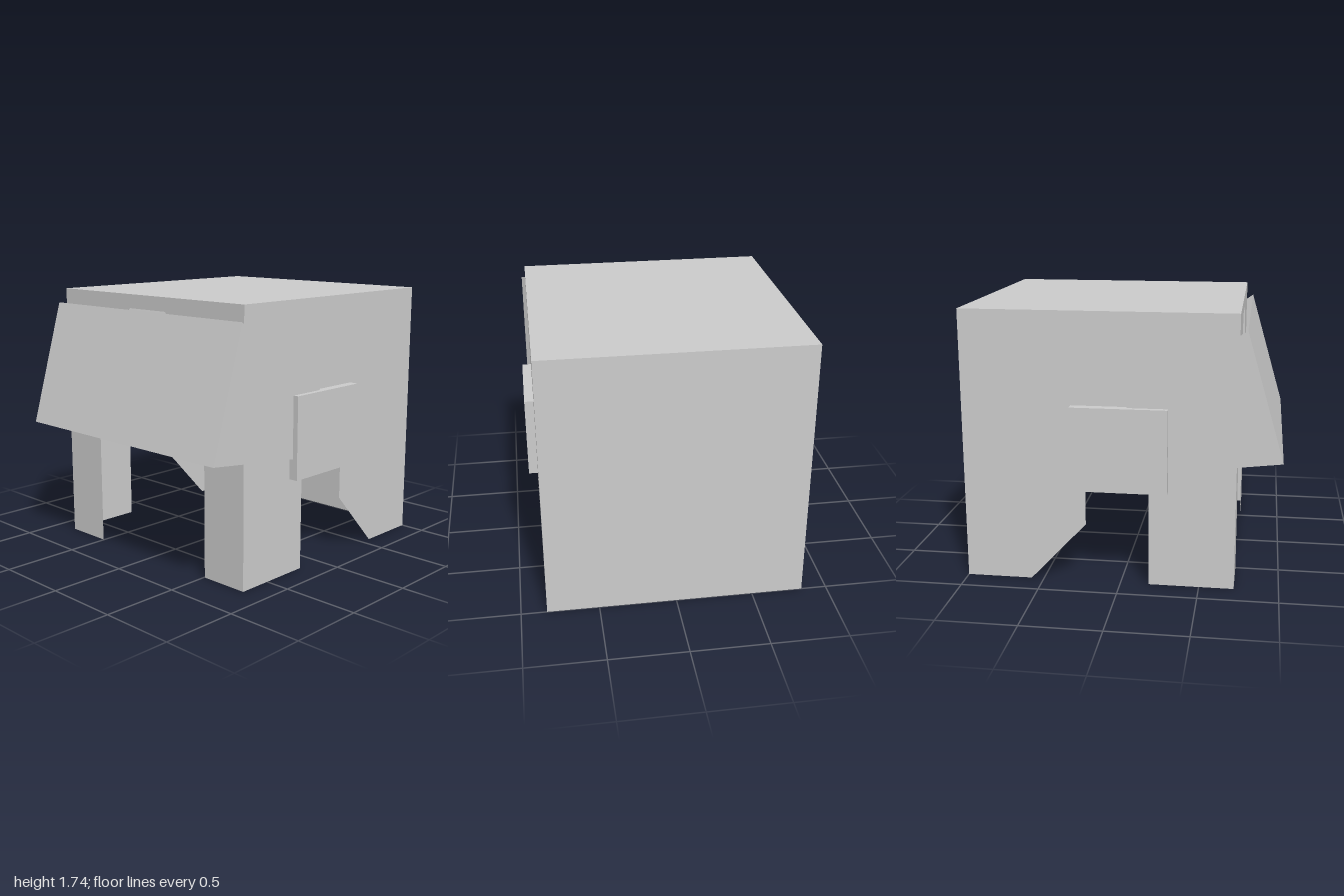
import * as THREE from 'three';

const grey = new THREE.MeshStandardMaterial({ color: 0xcccccc, side: THREE.DoubleSide });
grey.name = 'plain grey';

const W = 0.835, FRONT = 0.72, BACK = -1, TOP = 1.74;

// Flat sheet cut from an outline
function panel(name, outline) {
  const shape = new THREE.Shape(outline.map(([a, b]) => new THREE.Vector2(a, b)));
  const mesh = new THREE.Mesh(new THREE.ShapeGeometry(shape), grey);
  mesh.name = name;
  return mesh;
}

// Upright sheet facing sideways, outline given as [z, y]
function sidePanel(name, x, outline) {
  const mesh = panel(name, outline.map(([z, y]) => [-z, y]));
  mesh.geometry.rotateY(Math.PI / 2);
  mesh.position.x = x;
  return mesh;
}

export function createModel() {
  const model = new THREE.Group();
  model.name = 'helmet';

  // Shell: front with a face opening, closed back, flat crown
  const front = panel('shellFront', [
    [-W, 0], [-0.505, 0], [-0.505, 1.31], [-0.165, 1.65], [0.165, 1.65],
    [0.505, 1.31], [0.505, 0], [W, 0], [W, TOP], [-W, TOP],
  ]);
  front.position.z = FRONT;

  const back = panel('shellBack', [[-W, 0], [W, 0], [W, TOP], [-W, TOP]]);
  back.geometry.rotateY(Math.PI);
  back.position.z = BACK;

  const crown = panel('crown', [[-W, -FRONT], [W, -FRONT], [W, -BACK], [-W, -BACK]]);
  crown.geometry.rotateX(-Math.PI / 2);
  crown.position.y = TOP;
  model.add(front, back, crown);

  // Visor: tilted front plate
  const height = Math.hypot(0.805, 0.235);
  const visor = panel('visorFront', [[-0.86, 0], [0.86, 0], [0.86, height], [-0.86, height]]);
  visor.position.set(0, 0.84, 1);
  visor.rotation.x = -Math.atan2(0.235, 0.805);
  model.add(visor);

  for (const s of [1, -1]) {
    const side = s > 0 ? 'left' : 'right';

    // Shell side with an arched ear cutout
    model.add(sidePanel(side + 'ShellSide', s * W, [
      [FRONT, 0], [FRONT, TOP], [BACK, TOP], [BACK, 0],
      [-0.58, 0], [-0.22, 0.385], [-0.22, 0.75], [0.18, 0.75], [0.18, 0],
    ]));

    // Visor cheek tapering back to the hinge
    model.add(sidePanel(side + 'VisorSide', s * 0.86, [
      [0.765, 1.645], [1, 0.84], [0, 0.72], [0, 1.13],
    ]));

    // Hinge block over the ear
    const hinge = new THREE.Mesh(new THREE.BoxGeometry(0.095, 0.535, 0.605), grey);
    hinge.name = side + 'Hinge';
    hinge.position.set(s * 0.8475, 0.89, -0.003);
    model.add(hinge);
  }
  return model;
}
